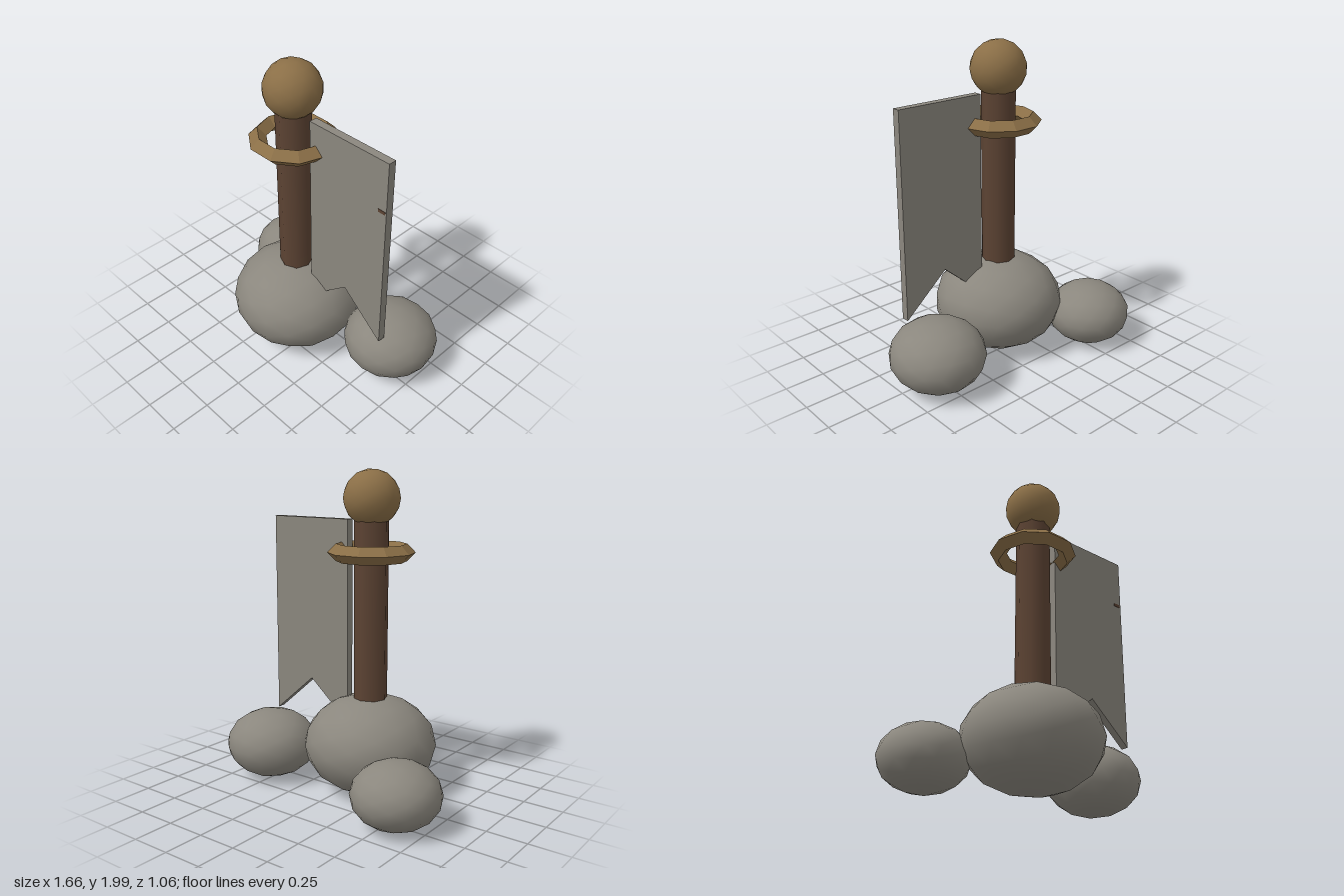
import * as THREE from 'three';

const stone = new THREE.MeshStandardMaterial({ color: 0x8b877e });
stone.name = 'stone';
const wood = new THREE.MeshStandardMaterial({ color: 0x5c4333 });
wood.name = 'wood';
const brass = new THREE.MeshStandardMaterial({ color: 0x8b6f47 });
brass.name = 'brass';

// Shared axis of the pole, knob and ring
const AX = -0.115, AZ = 0.118;

function add(group, name, geometry, material, x, y, z) {
  const mesh = new THREE.Mesh(geometry, material);
  mesh.name = name;
  mesh.position.set(x, y, z);
  group.add(mesh);
  return mesh;
}

// Smooth squashed boulder with a faceted outline
function addBoulder(group, name, r, x, y, z, turn) {
  const mesh = add(group, name, new THREE.IcosahedronGeometry(r, 2), stone, x, y, z);
  mesh.scale.y = 0.75;
  mesh.rotation.y = turn;
}

export function createModel() {
  const model = new THREE.Group();
  model.name = 'bannerPost';

  // Rocks at the foot
  addBoulder(model, 'mainBoulder', 0.414, AX, 0.31, AZ, 0.3);
  addBoulder(model, 'rightBoulder', 0.267, -0.568, 0.208, -0.27, 0.8);
  addBoulder(model, 'leftBoulder', 0.295, 0.536, 0.23, -0.077, 1.2);

  // Pole and knob
  add(model, 'pole', new THREE.CylinderGeometry(0.105, 0.105, 1.2, 8), wood, AX, 1.13, AZ);
  add(model, 'knob', new THREE.IcosahedronGeometry(0.172, 2), brass, AX, 1.83, AZ);

  // Diamond-section ring with flat facets
  const ringGeo = new THREE.TorusGeometry(0.213, 0.053, 4, 10).toNonIndexed();
  ringGeo.computeVertexNormals();
  ringGeo.rotateX(Math.PI / 2);
  add(model, 'ring', ringGeo, brass, AX, 1.508, AZ);

  // Swallow-tailed banner
  const outline = new THREE.Shape([
    [0.045, 0.41], [0.335, 0.66], [0.625, 0.41], [0.625, 1.7], [0.045, 1.7],
  ].map(([x, y]) => new THREE.Vector2(x, y)));
  const bannerGeo = new THREE.ExtrudeGeometry(outline, { depth: 0.05, bevelEnabled: false });
  add(model, 'banner', bannerGeo, stone, 0, 0, AZ - 0.025);

  // Small mark near the free edge
  add(model, 'bannerMark', new THREE.BoxGeometry(0.05, 0.02, 0.004), wood, 0.592, 1.378, AZ + 0.025);

  return model;
}
